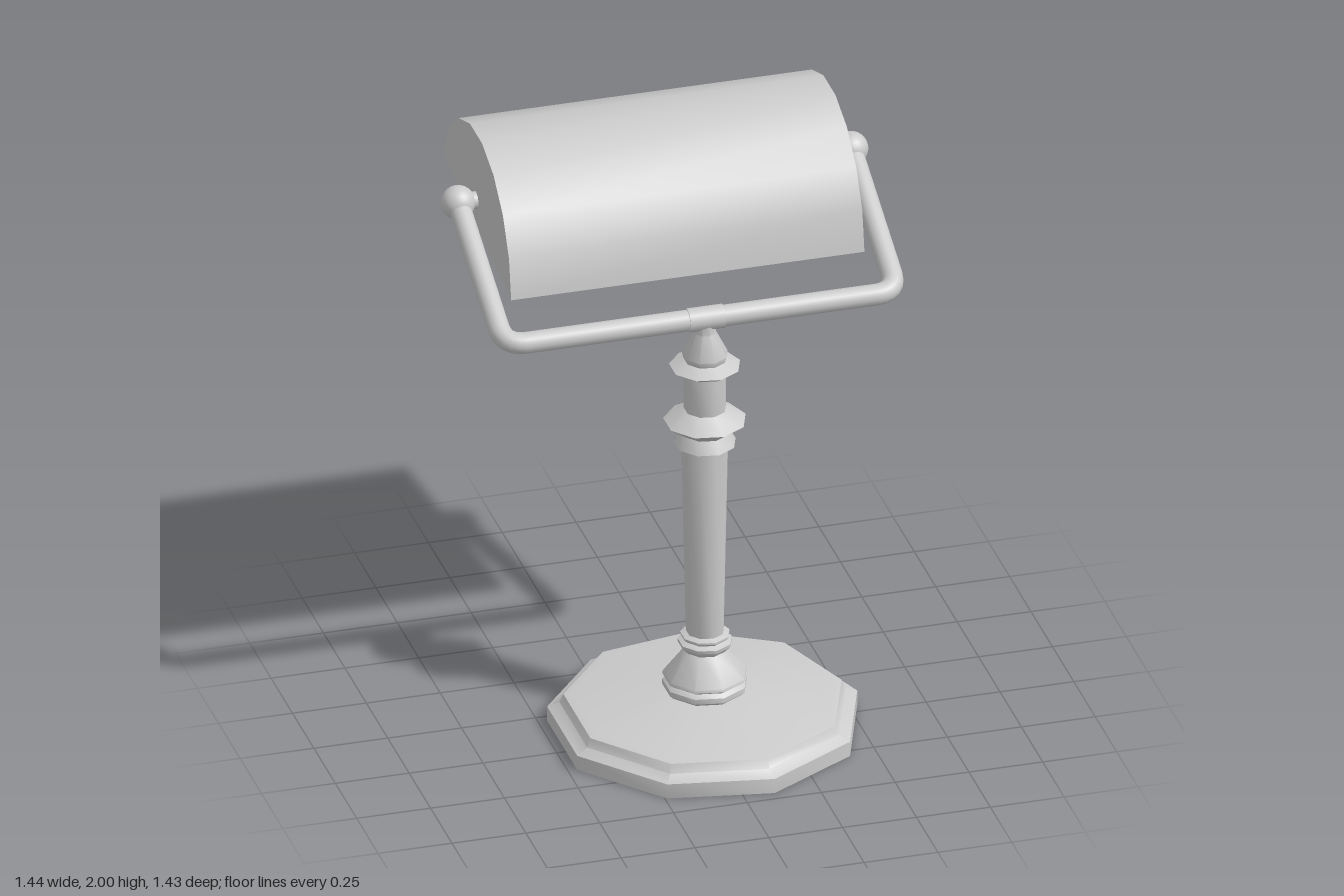
import * as THREE from 'three';
import { toCreasedNormals } from 'three/addons/utils/BufferGeometryUtils.js';

const CREASE = 0.75;
const CX = 0.015, CZ = 0.205; // axis of base and column
const PIVOT = new THREE.Vector3(0.665, 1.755, -0.335);
const BAR_Y = 1.505;

const grey = new THREE.MeshStandardMaterial({ color: 0xcccccc, side: THREE.DoubleSide });

function add(parent, name, geometry, x = 0, y = 0, z = 0) {
  const mesh = new THREE.Mesh(geometry, grey);
  mesh.name = name;
  mesh.position.set(x, y, z);
  parent.add(mesh);
  return mesh;
}

// Nine-sided turned part with one corner pointing to +x
function turned(profile) {
  const points = profile.map(([r, y]) => new THREE.Vector2(r, y));
  return toCreasedNormals(new THREE.LatheGeometry(points, 9, Math.PI / 2), CREASE);
}

// Half-round trough: outer skin with upright ends, inner skin with ends leaning inwards
function shadeGeometry() {
  const R = 0.41, HALF = 0.598, STEPS = 8, MID = THREE.MathUtils.degToRad(80);
  const positions = [], index = [];
  const skin = (thickness, lean, flip) => {
    const start = positions.length / 3;
    const tri = (a, b, c) => index.push(start + a, start + (flip ? c : b), start + (flip ? b : c));
    for (let i = 0; i <= STEPS; i++) {
      const t = THREE.MathUtils.degToRad(i * 20);
      const depth = Math.max(0, R * (Math.cos(t - MID) - Math.cos(MID)));
      const r = R - thickness * Math.min(1, depth * 10);
      const x = HALF - lean * depth;
      for (const s of [-1, 1]) positions.push(s * x, r * Math.sin(t), r * Math.cos(t));
    }
    for (let i = 0; i < STEPS; i++) {
      const a = i * 2;
      tri(a, a + 1, a + 3);
      tri(a, a + 3, a + 2);
      if (i > 0) { // end walls
        tri(0, a, a + 2);
        tri(1, a + 3, a + 1);
      }
    }
  };
  skin(0, 0, false);
  skin(0.015, 0.5, true);
  const geometry = new THREE.BufferGeometry();
  geometry.setAttribute('position', new THREE.Float32BufferAttribute(positions, 3));
  geometry.setIndex(index);
  return toCreasedNormals(geometry, CREASE);
}

// U-shaped bar: arm, rounded corner, crossbar, rounded corner, arm
function yokeGeometry() {
  const bend = 0.075;
  const path = new THREE.CurvePath();
  const parts = [-1, 1].map((s) => {
    const corner = new THREE.Vector3(s * PIVOT.x, BAR_Y, CZ);
    const end = new THREE.Vector3(s * PIVOT.x, PIVOT.y, PIVOT.z);
    const onArm = corner.clone().add(end.clone().sub(corner).setLength(bend));
    const onBar = corner.clone().setX(s * (PIVOT.x - bend));
    return { corner, end, onArm, onBar };
  });
  const [l, r] = parts;
  path.add(new THREE.LineCurve3(l.end, l.onArm));
  path.add(new THREE.QuadraticBezierCurve3(l.onArm, l.corner, l.onBar));
  path.add(new THREE.LineCurve3(l.onBar, r.onBar));
  path.add(new THREE.QuadraticBezierCurve3(r.onBar, r.corner, r.onArm));
  path.add(new THREE.LineCurve3(r.onArm, r.end));
  return new THREE.TubeGeometry(path, 140, 0.036, 16, false);
}

export function createModel() {
  const model = new THREE.Group();
  model.name = 'deskLamp';

  // Stepped base, hollow underneath
  add(model, 'base', turned([
    [0.515, 0], [0.515, 0.052], [0.475, 0.07], [0.462, 0.1], [0.435, 0.106], [0.125, 0.138],
  ]), CX, 0, CZ);

  // Turned foot of the column
  add(model, 'columnFoot', turned([
    [0.125, 0.138], [0.14, 0.15], [0.14, 0.168], [0.125, 0.18], [0.14, 0.19], [0.138, 0.2],
    [0.07, 0.288], [0.09, 0.31], [0.09, 0.32], [0.07, 0.328], [0.082, 0.338], [0.082, 0.345], [0.063, 0.352],
  ]), CX, 0, CZ);

  // Shaft and rings
  add(model, 'column', turned([
    [0.063, 0.352], [0.078, 1.045], [0.103, 1.048], [0.08, 1.09], [0.137, 1.132], [0.07, 1.173],
    [0.07, 1.312], [0.09, 1.315], [0.118, 1.333], [0.07, 1.355], [0.076, 1.375],
    [0.036, 1.455], [0.036, 1.5],
  ]), CX, 0, CZ);

  // Yoke with its centre collar
  add(model, 'yoke', yokeGeometry());
  add(model, 'yokeCollar', new THREE.CylinderGeometry(0.04, 0.04, 0.12, 16), CX, BAR_Y, CZ)
    .rotation.z = Math.PI / 2;

  // Ball joints and pivot pins
  for (const [side, s] of [['left', 1], ['right', -1]]) {
    add(model, side + 'Ball', new THREE.SphereGeometry(0.057, 24, 16), s * PIVOT.x, PIVOT.y, PIVOT.z);
    add(model, side + 'Pin', new THREE.CylinderGeometry(0.029, 0.029, 0.155, 16), s * 0.588, PIVOT.y, PIVOT.z)
      .rotation.z = Math.PI / 2;
  }

  add(model, 'shade', shadeGeometry(), -0.006, 1.596, PIVOT.z);
  return model;
}
